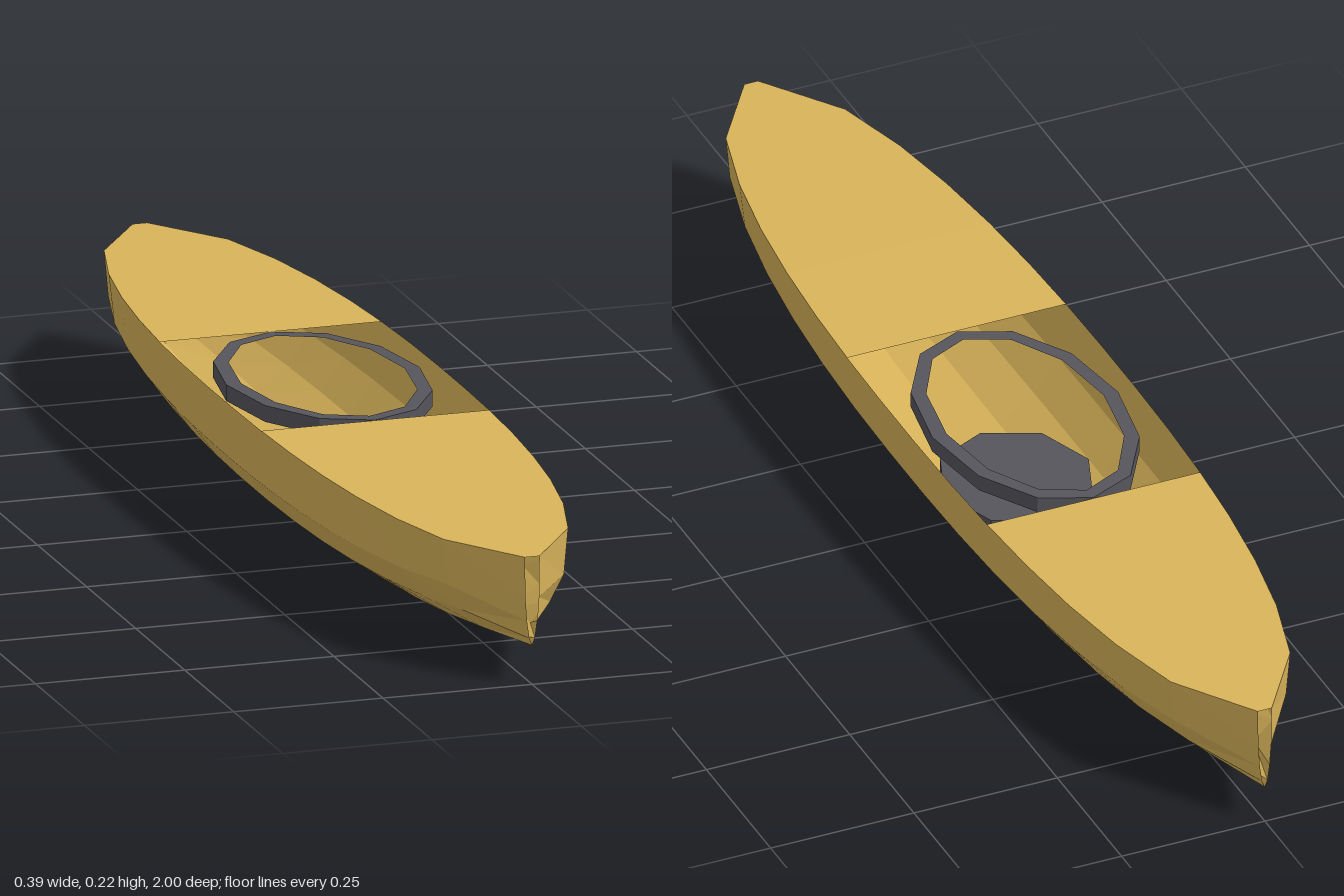
import * as THREE from 'three';

const SEGMENTS = 15;
const HALF = 0.193, HEIGHT = 0.217;
const stationZ = (i) => -1 + (2 * i) / SEGMENTS;
const halfWidth = (z) => Math.max(0.012, HALF * Math.sqrt(Math.max(0, 1 - Math.abs(z) ** 2.4)));
const keelY = (z) => 0.065 * z * z;
const sheerY = (z) => HEIGHT - 0.005 * z * z;

// Midship half section, from gunwale down to keel
const half = [[0.193, 0.217], [0.18, 0.117], [0.137, 0.06], [0.075, 0.018], [0, 0]];
const section = [...half, ...half.slice(0, -1).reverse().map(([x, y]) => [-x, y])];
const gunwales = [[-HALF, HEIGHT], [HALF, HEIGHT]];

// Skin a profile, scaled to each station, between two station numbers
function skin(profile, from, to) {
  const pos = [], index = [], n = profile.length;
  for (let i = from; i <= to; i++) {
    const z = stationZ(i), k = keelY(z);
    for (const [x, y] of profile) {
      pos.push((x / HALF) * halfWidth(z), k + (y / HEIGHT) * (sheerY(z) - k), z);
    }
  }
  for (let i = 0; i < to - from; i++) {
    for (let j = 0; j < n - 1; j++) {
      const a = i * n + j, b = a + 1, c = a + n, d = c + 1;
      index.push(a, c, b, b, c, d);
    }
  }
  const g = new THREE.BufferGeometry();
  g.setAttribute('position', new THREE.Float32BufferAttribute(pos, 3));
  g.setIndex(index);
  g.computeVertexNormals();
  return g;
}

// Oval outline with a vertex at each end of the long axis
function oval(rx, rz, sides) {
  const points = [];
  for (let i = 0; i < sides; i++) {
    const a = (i / sides) * Math.PI * 2;
    points.push(new THREE.Vector2(Math.sin(a) * rx, Math.cos(a) * rz));
  }
  return points;
}

export function createModel() {
  const group = new THREE.Group();
  const yellow = new THREE.MeshStandardMaterial({
    color: 0xd9b45a, flatShading: true, side: THREE.DoubleSide,
  });
  const grey = new THREE.MeshStandardMaterial({ color: 0x55555c, flatShading: true });
  const add = (name, geometry, material) => {
    const mesh = new THREE.Mesh(geometry, material);
    mesh.name = name;
    group.add(mesh);
    return mesh;
  };

  // Hull skin, with narrow open slits at the stems
  add('hull', skin(section, 0, SEGMENTS), yellow);

  // Decks either side of the open cockpit
  add('rearDeck', skin(gunwales, 0, 5), yellow);
  add('frontDeck', skin(gunwales, 9, SEGMENTS), yellow);

  // Cockpit rim
  const rim = new THREE.Shape(oval(0.162, 0.265, 12));
  rim.holes.push(new THREE.Path(oval(0.137, 0.24, 12)));
  const rimGeometry = new THREE.ExtrudeGeometry(rim, { depth: 0.027, bevelEnabled: false });
  rimGeometry.rotateX(-Math.PI / 2);
  add('cockpitRim', rimGeometry, grey).position.set(0, 0.19, -0.067);

  // Seat pad
  const seat = new THREE.CylinderGeometry(1, 1, 0.025, 8);
  seat.scale(0.126, 1, 0.14);
  add('seat', seat, grey).position.set(0, 0.066, -0.033);

  return group;
}
